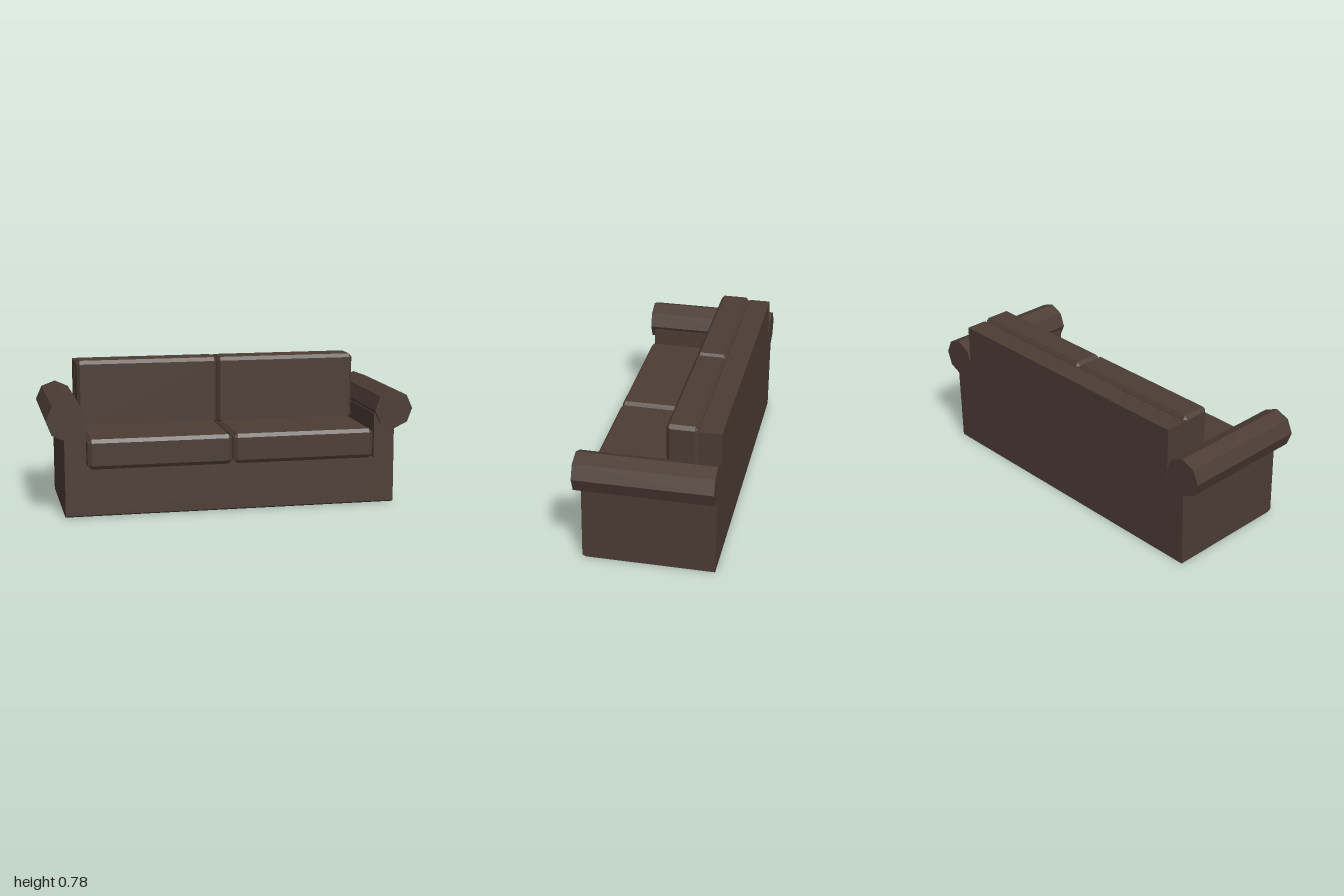
import * as THREE from 'three';
import { ConvexGeometry } from 'three/addons/geometries/ConvexGeometry.js';

const fabric = new THREE.MeshStandardMaterial({ color: 0x4c3c34, flatShading: true });

// Extrudes a side profile of [z, y] points from x0 to x1
function sideExtrude(points, x0, x1) {
  const shape = new THREE.Shape(points.map(([z, y]) => new THREE.Vector2(z, y)));
  const geo = new THREE.ExtrudeGeometry(shape, { depth: x1 - x0, bevelEnabled: false });
  return geo.rotateY(-Math.PI / 2).translate(x1, 0, 0);
}

// Box between two corners with every edge chamfered by c = [x, y, z]
function chamferBox(min, max, c) {
  const mid = min.map((v, i) => (v + max[i]) / 2);
  const half = min.map((v, i) => (max[i] - v) / 2);
  const points = [];
  for (const sx of [-1, 1]) for (const sy of [-1, 1]) for (const sz of [-1, 1]) {
    const s = [sx, sy, sz];
    for (let full = 0; full < 3; full++) {
      const p = s.map((sign, i) => mid[i] + sign * (half[i] - (i === full ? 0 : c[i])));
      points.push(new THREE.Vector3(...p));
    }
  }
  return new ConvexGeometry(points);
}

export function createModel() {
  const sofa = new THREE.Group();
  sofa.name = 'sofa';
  const add = (name, geometry) => {
    const mesh = new THREE.Mesh(geometry, fabric);
    mesh.name = name;
    sofa.add(mesh);
    return mesh;
  };

  // Base and backrest in one L-shaped profile
  add('baseAndBackrest', sideExtrude([
    [-0.355, 0], [0.33, 0], [0.35, 0.01], [0.345, 0.255],
    [-0.24, 0.255], [-0.24, 0.755], [-0.36, 0.755], [-0.36, 0.42],
  ], -0.79, 0.79));

  for (const side of [-1, 1]) {
    const label = side > 0 ? 'left' : 'right';

    // Arm panel
    const panel = [[-0.355, 0], [0.33, 0], [0.35, 0.01], [0.341, 0.5], [-0.36, 0.5], [-0.36, 0.42]];
    add(label + 'ArmPanel', side > 0 ? sideExtrude(panel, 0.79, 0.905) : sideExtrude(panel, -0.905, -0.79));

    // Octagonal roll on top of the arm
    const roll = new THREE.CylinderGeometry(0.106, 0.106, 0.724, 8).rotateX(Math.PI / 2);
    roll.rotateZ(side * 0.035);
    add(label + 'ArmRoll', roll).position.set(side * 0.894, 0.524, 0.002);

    // Cushions, one pair per half
    const span = (lo, hi) => (side > 0 ? [lo, hi] : [-hi, -lo]);
    const [s0, s1] = span(0.003, 0.783);
    add(label + 'SeatCushion', chamferBox([s0, 0.256, -0.235], [s1, 0.418, 0.355], [0.022, 0.02, 0.013]));
    const [b0, b1] = span(0.002, 0.79);
    add(label + 'BackCushion', chamferBox([b0, 0.395, -0.238], [b1, 0.776, -0.075], [0.016, 0.02, 0.016]));
  }
  return sofa;
}
